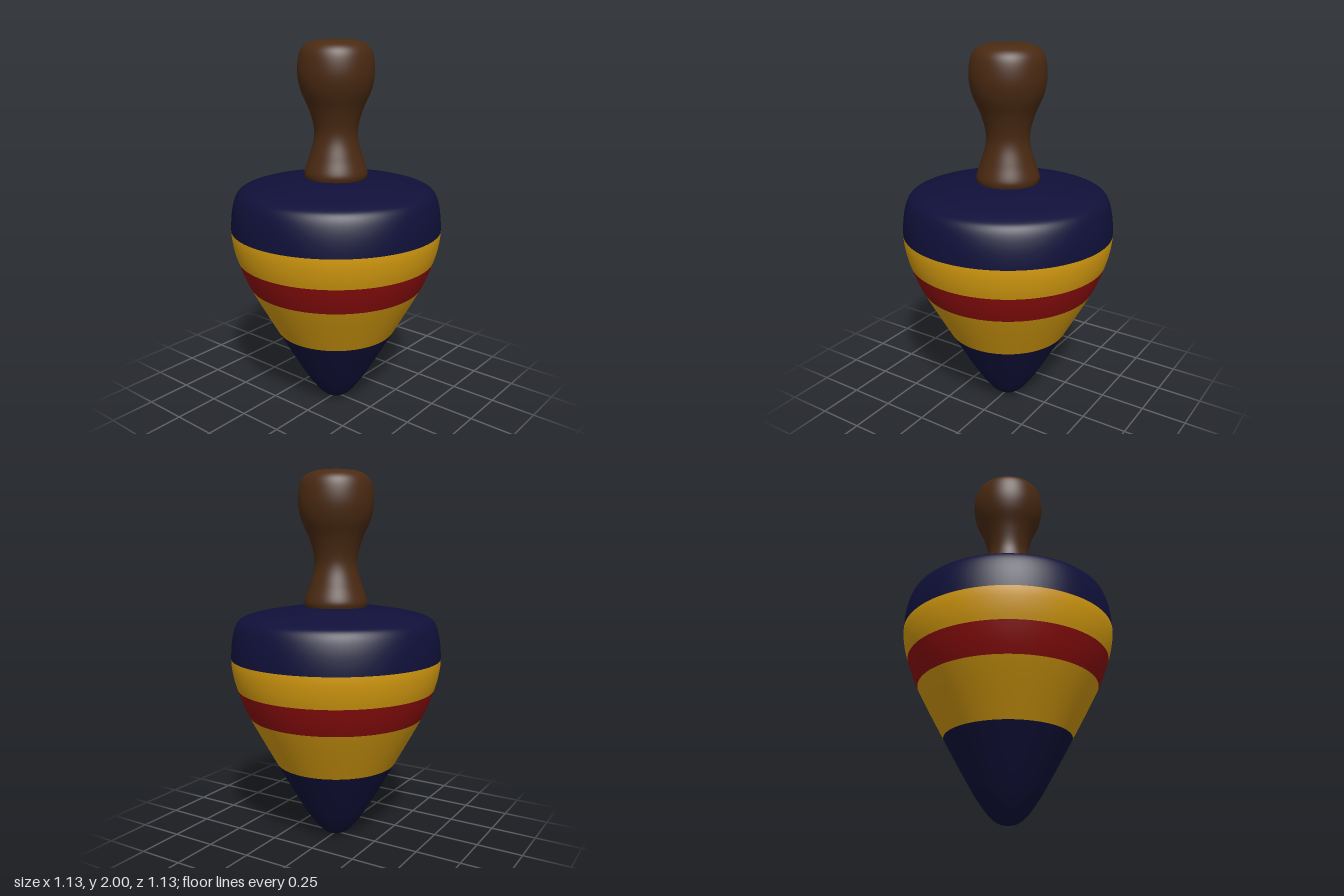
import * as THREE from 'three';

const material = (name, color) => {
  const m = new THREE.MeshStandardMaterial({ color });
  m.name = name;
  return m;
};

const spline = (pts) => new THREE.SplineCurve(pts.map(([r, y]) => new THREE.Vector2(r, y)));

// Curve parameter at which a rising profile reaches height y
function paramAt(curve, y) {
  let lo = 0, hi = 1;
  for (let i = 0; i < 40; i++) {
    const mid = (lo + hi) / 2;
    if (curve.getPoint(mid).y < y) lo = mid; else hi = mid;
  }
  return (lo + hi) / 2;
}

// Turned part: the stretch of the profile between parameters t0 and t1
function turned(name, curve, t0, t1, mat) {
  const n = Math.max(10, Math.ceil((t1 - t0) * 80));
  const pts = [];
  for (let i = 0; i <= n; i++) {
    const p = curve.getPoint(t0 + ((t1 - t0) * i) / n);
    p.x = Math.max(p.x, 0);
    pts.push(p);
  }
  const mesh = new THREE.Mesh(new THREE.LatheGeometry(pts, 96), mat);
  mesh.name = name;
  return mesh;
}

export function createModel() {
  const blue = material('navy paint', 0x10103a);
  const yellow = material('yellow paint', 0xd69c10);
  const red = material('red paint', 0x8e0d0d);
  const brown = material('brown wood', 0x4a2a12);

  const top = new THREE.Group();
  top.name = 'spinningTop';

  // Body, from the rounded point to the shallow dome, cut into painted bands
  const body = spline([
    [0, 0], [0.045, 0.008], [0.085, 0.035], [0.13, 0.09], [0.195, 0.19], [0.33, 0.43],
    [0.475, 0.7], [0.535, 0.85], [0.56, 0.95], [0.565, 1.03], [0.555, 1.13], [0.53, 1.205],
    [0.485, 1.237], [0.39, 1.261], [0.25, 1.282], [0.12, 1.293], [0, 1.297],
  ]);
  const bands = [
    ['tip', 0.43, blue],
    ['lowerYellowBand', 0.7, yellow],
    ['redBand', 0.85, red],
    ['upperYellowBand', 1.015, yellow],
    ['shoulder', null, blue],
  ];
  let t = 0;
  for (const [name, y, mat] of bands) {
    const end = y === null ? 1 : paramAt(body, y);
    top.add(turned(name, body, t, end, mat));
    t = end;
  }

  // Waisted handle with a rounded knob
  const handle = spline([
    [0.16, 1.28], [0.168, 1.32], [0.142, 1.4], [0.117, 1.49], [0.117, 1.56], [0.142, 1.65],
    [0.183, 1.745], [0.199, 1.83], [0.191, 1.92], [0.165, 1.968], [0.115, 1.993], [0.05, 1.999], [0, 2],
  ]);
  top.add(turned('handle', handle, 0, 1, brown));

  return top;
}
